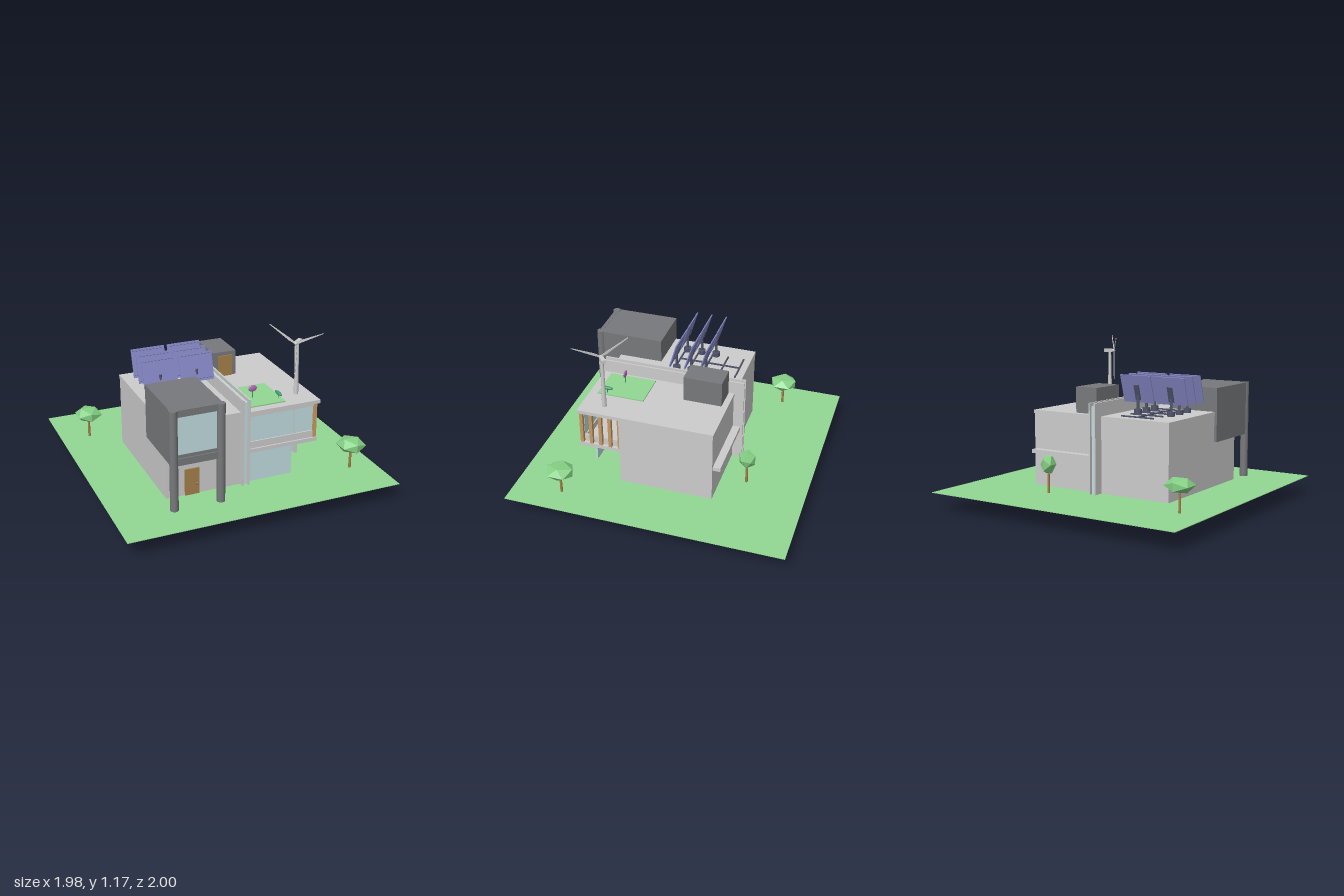
import * as THREE from 'three';

const mat = (color, flatShading = false) => new THREE.MeshStandardMaterial({ color, flatShading });
const grey = mat(0xcccccc), dark = mat(0x76787b), glass = mat(0xc0dde0), wood = mat(0xa5804a), tan = mat(0xc79a62);
const grass = mat(0x92d692), water = mat(0x10c8e8), solar = mat(0x8486c4), metal = mat(0x50546a), purple = mat(0xb668b8);
const leaf = mat(0x84cf84, true), herb = mat(0x3f9a70);

export function createModel() {
  const root = new THREE.Group();

  const add = (name, geo, material, x = 0, y = 0, z = 0, parent = root) => {
    const m = new THREE.Mesh(geo, material);
    m.name = name;
    m.position.set(x, y, z);
    parent.add(m);
    return m;
  };
  // Box given by its lower and upper limits on each axis
  const box = (name, material, x0, x1, y0, y1, z0, z1, parent = root) =>
    add(name, new THREE.BoxGeometry(x1 - x0, y1 - y0, z1 - z0), material,
      (x0 + x1) / 2, (y0 + y1) / 2, (z0 + z1) / 2, parent);
  // Upright cylinder between two heights
  const post = (name, material, x, z, y0, y1, r0, r1 = r0, sides = 16, parent = root) =>
    add(name, new THREE.CylinderGeometry(r1, r0, y1 - y0, sides), material, x, (y0 + y1) / 2, z, parent);
  const group = (name, parent = root) => {
    const g = new THREE.Group();
    g.name = name;
    parent.add(g);
    return g;
  };

  const G = 0.13, B = 0.125, ROOF = 0.68;

  // Lawn and pool
  box('lawn', grass, -0.99, 0.99, 0.128, 0.132, -1, 1);
  box('pool', water, 0.13, 0.49, 0, 0.136, -0.283, 0.243);

  // Left wing: walls, roof and front door
  const left = group('leftWing');
  box('leftFrontWall', grey, -0.575, -0.03, B, 0.65, 0.55, 0.57, left);
  box('leftBackWall', grey, -0.575, -0.03, B, 0.65, -0.38, -0.36, left);
  box('leftSideWall', grey, -0.575, -0.555, B, 0.65, -0.36, 0.55, left);
  box('leftRoof', grey, -0.578, -0.03, 0.645, 0.676, -0.383, 0.573, left);
  box('frontDoor', wood, -0.44, -0.335, G, 0.327, 0.565, 0.58, left);
  add('doorKnob', new THREE.SphereGeometry(0.009, 10, 8), dark, -0.353, 0.212, 0.584, left);

  // Projecting dark room on two columns
  const bay = group('projectingRoom');
  box('bayBody', dark, -0.595, -0.228, 0.458, 0.848, 0.252, 0.72, bay);
  box('bayTopBeam', dark, -0.595, -0.228, 0.802, 0.85, 0.72, 0.745, bay);
  box('baySill', dark, -0.595, -0.228, 0.458, 0.508, 0.72, 0.745, bay);
  box('bayWindowFrame', dark, -0.55, -0.27, 0.508, 0.53, 0.72, 0.735, bay);
  box('bayWindow', glass, -0.55, -0.27, 0.525, 0.803, 0.715, 0.73, bay);
  for (const x of [-0.576, -0.243]) post('bayColumn', dark, x, 0.732, B, 0.85, 0.029, 0.029, 24, bay);

  // Central fin: two plates with glass between
  const fin = group('centralFin');
  for (const x of [-0.03, 0.015]) box('finPlate', grey, x, x + 0.012, B, 0.773, -0.452, 0.608, fin);
  box('finGlass', glass, -0.02, 0.017, B, 0.748, -0.43, 0.582, fin);

  // Right wing: open pool hall below, glazed floor above
  const right = group('rightWing');
  box('rightSideWall', grey, 0.535, 0.555, B, 0.658, -0.378, 0.298, right);
  box('rightBackWall', grey, 0.025, 0.555, B, 0.658, -0.378, -0.358, right);
  box('rightRoof', grey, 0.025, 0.56, 0.655, ROOF, -0.382, 0.602, right);
  box('upperFloor', grey, 0.025, 0.542, 0.372, 0.4, -0.432, 0.602, right);
  box('frontParapet', grey, 0.025, 0.515, 0.4, 0.45, 0.56, 0.59, right);
  box('sideParapet', grey, 0.5, 0.518, 0.4, 0.45, 0.298, 0.56, right);
  box('windowHead', grey, 0.025, 0.515, 0.635, 0.655, 0.56, 0.59, right);
  box('lowerWindow', glass, 0.027, 0.37, G, 0.372, 0.545, 0.56, right);
  box('upperWindow', glass, 0.027, 0.367, 0.45, 0.636, 0.568, 0.58, right);
  box('upperWindow', glass, 0.371, 0.515, 0.45, 0.636, 0.568, 0.58, right);
  box('windowMullion', grey, 0.366, 0.372, 0.45, 0.636, 0.566, 0.583, right);
  for (let i = 0; i < 5; i++) {
    const z = 0.583 - i * 0.07;
    box('woodenPost', tan, 0.515, 0.54, 0.4, 0.656, z - 0.012, z + 0.012, right);
  }

  // Roof hut with door
  box('roofHut', dark, 0.035, 0.212, ROOF, 0.865, -0.34, -0.062);
  box('roofHutDoor', wood, 0.073, 0.183, ROOF, 0.837, -0.065, -0.053);

  // Roof garden with a flower and a small plant
  const garden = group('roofGarden');
  box('gardenLawn', grass, 0.053, 0.322, ROOF, 0.688, 0.198, 0.54, garden);
  post('flowerStem', herb, 0.135, 0.4, ROOF, 0.75, 0.004, 0.004, 8, garden);
  add('flowerHead', new THREE.SphereGeometry(1, 16, 10), purple, 0.135, 0.757, 0.4, garden).scale.set(0.033, 0.024, 0.009);
  post('plantStem', herb, 0.297, 0.475, ROOF, 0.725, 0.003, 0.003, 8, garden);
  add('plantLeaf', new THREE.SphereGeometry(1, 16, 10), herb, 0.297, 0.724, 0.475, garden).scale.set(0.014, 0.013, 0.045);

  // Solar array: pipes, stands and six tilted panels
  const array = group('solarArray');
  box('mainPipe', metal, -0.306, -0.296, 0.68, 0.69, -0.33, 0.13, array);
  for (const z of [-0.33, -0.21, -0.09, 0.02, 0.125]) box('crossPipe', metal, -0.425, -0.163, 0.68, 0.69, z - 0.005, z + 0.005, array);
  for (const z of [0.1, -0.012, -0.124]) for (const x of [-0.433, -0.162]) {
    post('standBase', metal, x, z + 0.01, 0.675, 0.708, 0.028, 0.028, 20, array);
    post('standPole', metal, x, z + 0.01, 0.7, 0.84, 0.01, 0.01, 10, array);
    const panel = group('panel', array);
    panel.position.set(x, 0.852, z);
    panel.rotation.x = -0.29;
    box('panelPlate', solar, -0.124, 0.124, -0.102, 0.102, -0.004, 0.004, panel);
    box('panelBracket', metal, -0.02, 0.02, -0.08, 0.03, -0.012, -0.004, panel);
    for (const y of [-0.085, 0.085]) box('panelSeam', metal, -0.115, 0.115, y - 0.001, y + 0.001, 0.003, 0.005, panel);
  }

  // Wind turbine, its rotor turned toward the front left
  const turbine = group('windTurbine');
  turbine.position.set(0.453, 0, 0.437);
  turbine.rotation.y = -0.898;
  post('mast', grey, 0, 0, ROOF, 1.06, 0.017, 0.01, 20, turbine);
  box('nacelle', grey, -0.014, 0.014, 1.052, 1.076, -0.045, 0.02, turbine);
  const rotor = group('rotor', turbine);
  rotor.position.set(0, 1.063, 0.03);
  add('hub', new THREE.SphereGeometry(0.013, 14, 10), grey, 0, 0, 0, rotor);
  const bladeShape = new THREE.Shape([[-0.005, 0], [-0.011, 0.05], [-0.002, 0.225], [0.002, 0.225], [0.007, 0.05], [0.005, 0]]
    .map(([x, y]) => new THREE.Vector2(x, y)).reverse());
  const bladeGeo = new THREE.ExtrudeGeometry(bladeShape, { depth: 0.005, bevelEnabled: false });
  for (const a of [62, 180, 298]) add('blade', bladeGeo, grey, 0, 0, 0, rotor).rotation.z = a * Math.PI / 180;

  // Low-poly trees: position, then crown height and radii
  for (const [x, z, cy, rx, ry, rz] of [
    [-0.775, -0.575, 0.315, 0.104, 0.056, 0.11],
    [0.795, 0.65, 0.315, 0.104, 0.056, 0.11],
    [0.295, -0.56, 0.335, 0.052, 0.074, 0.067],
  ]) {
    const tree = group('tree');
    post('trunk', wood, x, z, B, cy, 0.01, 0.008, 8, tree);
    add('crown', new THREE.IcosahedronGeometry(1, 0), leaf, x, cy, z, tree).scale.set(rx, ry, rz);
  }

  return root;
}
